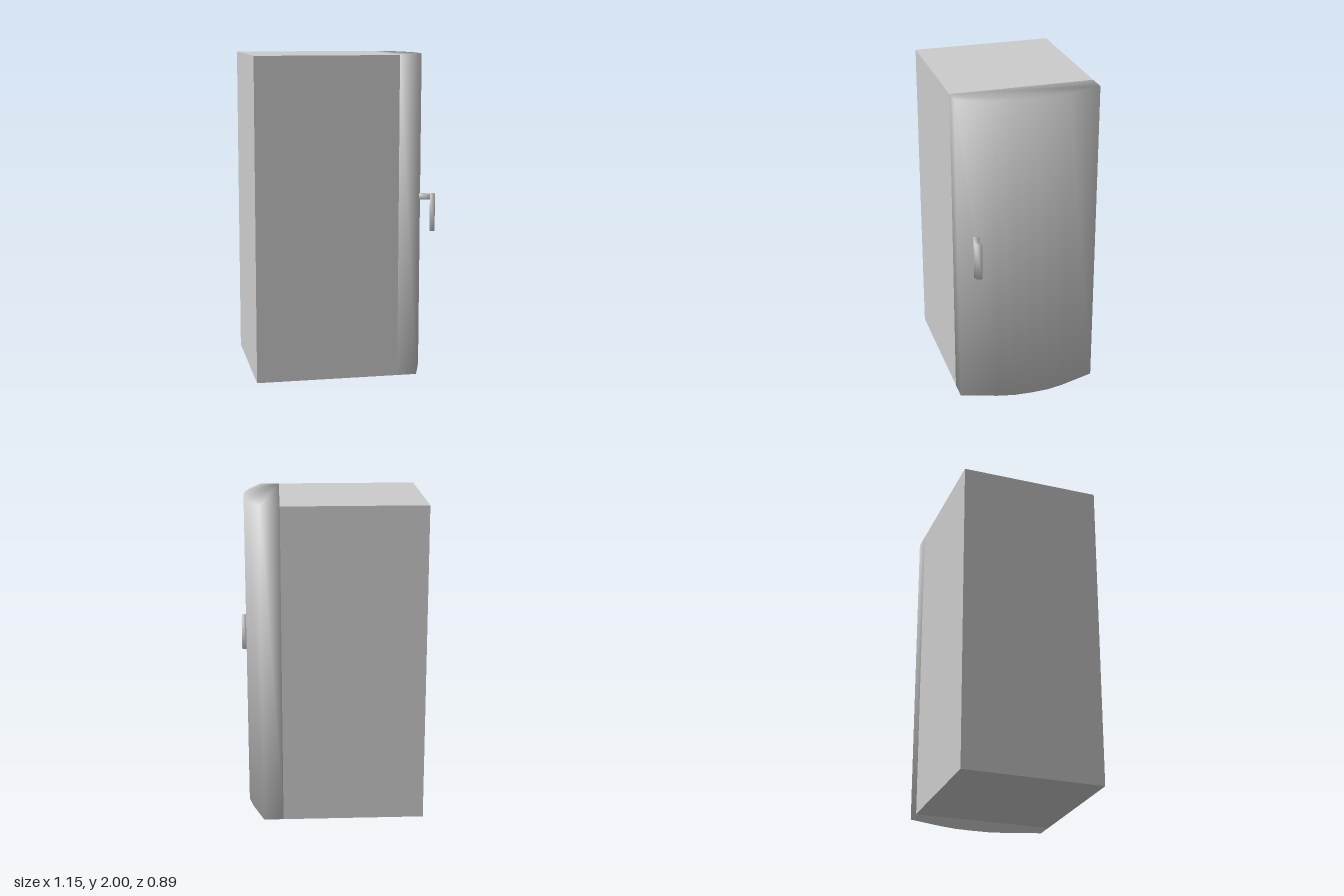
import * as THREE from 'three';
import { mergeVertices } from 'three/addons/utils/BufferGeometryUtils.js';

const material = new THREE.MeshStandardMaterial({ color: 0xcccccc });

// Upright prism over a plan outline of [x, z] points, shaded softly over its edges
function softPrism(name, outline, y0, y1, tilt) {
  const shape = new THREE.Shape(outline.map(([x, z]) => new THREE.Vector2(x, -z)));
  let geo = new THREE.ExtrudeGeometry(shape, { depth: y1 - y0, bevelEnabled: false });
  geo.rotateX(-Math.PI / 2).translate(0, y0, 0);
  geo.deleteAttribute('normal');
  geo.deleteAttribute('uv');
  geo = mergeVertices(geo, 1e-4);
  geo.computeVertexNormals();
  // give the top and bottom faces an even share of each corner normal
  const n = geo.attributes.normal;
  const v = new THREE.Vector3();
  for (let i = 0; i < n.count; i++) {
    const up = geo.attributes.position.getY(i) > (y0 + y1) / 2 ? tilt : -tilt;
    v.set(n.getX(i), 0, n.getZ(i)).normalize().setY(up).normalize();
    n.setXYZ(i, v.x, v.y, v.z);
  }
  const mesh = new THREE.Mesh(geo, material);
  mesh.name = name;
  return mesh;
}

export function createModel() {
  const model = new THREE.Group();
  model.name = 'refrigerator';

  // Cabinet
  const xMin = -0.575, xDoor = 0.313, zHalf = 0.443;
  const cabinet = new THREE.Mesh(new THREE.BoxGeometry(xDoor - xMin, 2, zHalf * 2), material);
  cabinet.position.set((xMin + xDoor) / 2, 1, 0);
  cabinet.name = 'cabinet';
  model.add(cabinet);

  // Bowed door, symmetric in z
  const half = [[xDoor, zHalf], [0.435, zHalf], [0.508, 0.22], [0.531, 0.11]];
  const mirrored = half.map(([x, z]) => [x, -z]).reverse();
  model.add(softPrism('door', [...half, [0.535, 0], ...mirrored], 0, 2, 0.6));

  // Handle: short arm and hanging grip
  const handle = new THREE.Group();
  handle.name = 'handle';
  handle.add(
    softPrism('handleArm', [[0.465, 0.353], [0.533, 0.369], [0.541, 0.334], [0.473, 0.318]], 1.1, 1.135, 0.7),
    softPrism('handleGrip', [[0.533, 0.369], [0.566, 0.364], [0.573, 0.327], [0.541, 0.334]], 0.9, 1.135, 0.7)
  );
  model.add(handle);
  return model;
}
